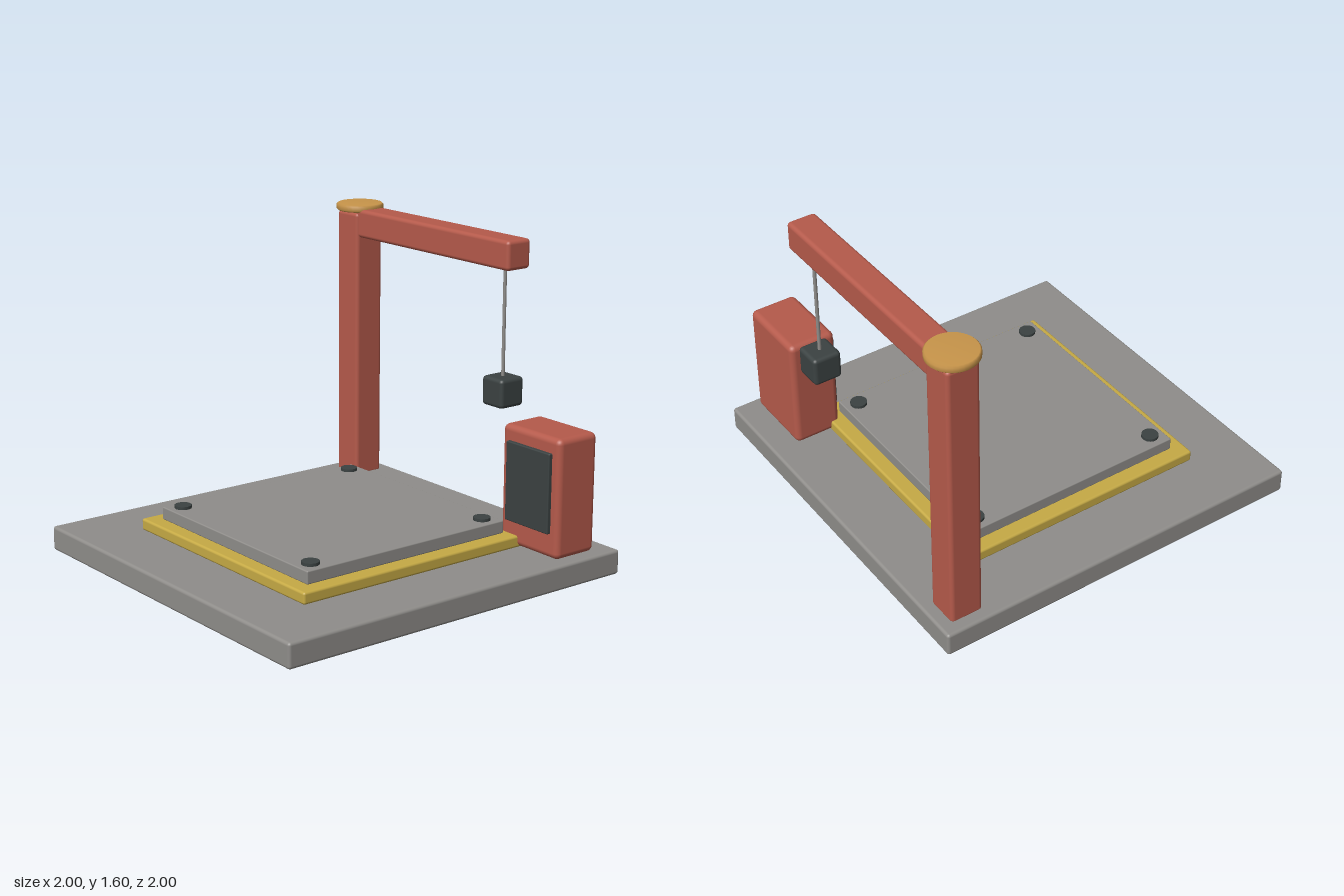
import * as THREE from 'three';
import { RoundedBoxGeometry } from 'three/addons/geometries/RoundedBoxGeometry.js';

function material(name, color) {
  const m = new THREE.MeshStandardMaterial({ color });
  m.name = name;
  return m;
}

export function createModel() {
  const model = new THREE.Group();
  model.name = 'craneStation';

  const grey = material('concreteGrey', 0x8f8d8a);
  const yellow = material('safetyYellow', 0xc6aa45);
  const red = material('paintedRed', 0xb55a4b);
  const dark = material('darkSlate', 0x3b4242);
  const gold = material('capGold', 0xc8954a);

  const add = (name, geometry, mat, x, y, z) => {
    const mesh = new THREE.Mesh(geometry, mat);
    mesh.name = name;
    mesh.position.set(x, y, z);
    model.add(mesh);
    return mesh;
  };
  // Rounded box given by its extents on each axis
  const box = (name, mat, [x0, x1], [y0, y1], [z0, z1], radius) =>
    add(name, new RoundedBoxGeometry(x1 - x0, y1 - y0, z1 - z0, 3, radius), mat,
      (x0 + x1) / 2, (y0 + y1) / 2, (z0 + z1) / 2);

  // Stacked platform
  box('baseSlab', grey, [-1, 1], [0, 0.125], [-1, 1], 0.015);
  box('platformTrim', yellow, [-0.675, 0.675], [0.125, 0.185], [-0.675, 0.675], 0.012);
  box('platformPlate', grey, [-0.6, 0.6], [0.185, 0.25], [-0.6, 0.6], 0.006);

  // Corner bolts
  for (const x of [-0.525, 0.525])
    for (const z of [-0.525, 0.525])
      add('cornerBolt', new THREE.CylinderGeometry(0.043, 0.043, 0.03, 24), dark, x, 0.25, z);

  // Crane post, boom and bevelled cap
  box('cranePost', red, [-0.935, -0.765], [0.11, 1.56], [-0.935, -0.765], 0.02);
  box('craneBoom', red, [-0.9, 0.4], [1.43, 1.58], [-0.925, -0.775], 0.02);
  const capProfile = [[0, 0], [0.117, 0], [0.125, 0.008], [0.125, 0.03], [0.117, 0.038], [0, 0.038]]
    .map(([r, y]) => new THREE.Vector2(r, y));
  const capGeometry = new THREE.LatheGeometry(capProfile, 32);
  add('postCap', capGeometry, gold, -0.85, 1.563, -0.85);

  // Hanging cable and weight
  add('cable', new THREE.CylinderGeometry(0.009, 0.009, 0.6, 12), grey, 0.3, 1.15, -0.85);
  box('hangingWeight', dark, [0.225, 0.375], [0.73, 0.88], [-0.925, -0.775], 0.02);

  // Control cabinet and front panel
  box('controlCabinet', red, [0.55, 0.95], [0.13, 0.73], [-0.875, -0.625], 0.03);
  box('cabinetPanel', dark, [0.6, 0.9], [0.255, 0.655], [-0.635, -0.605], 0.006);

  return model;
}
